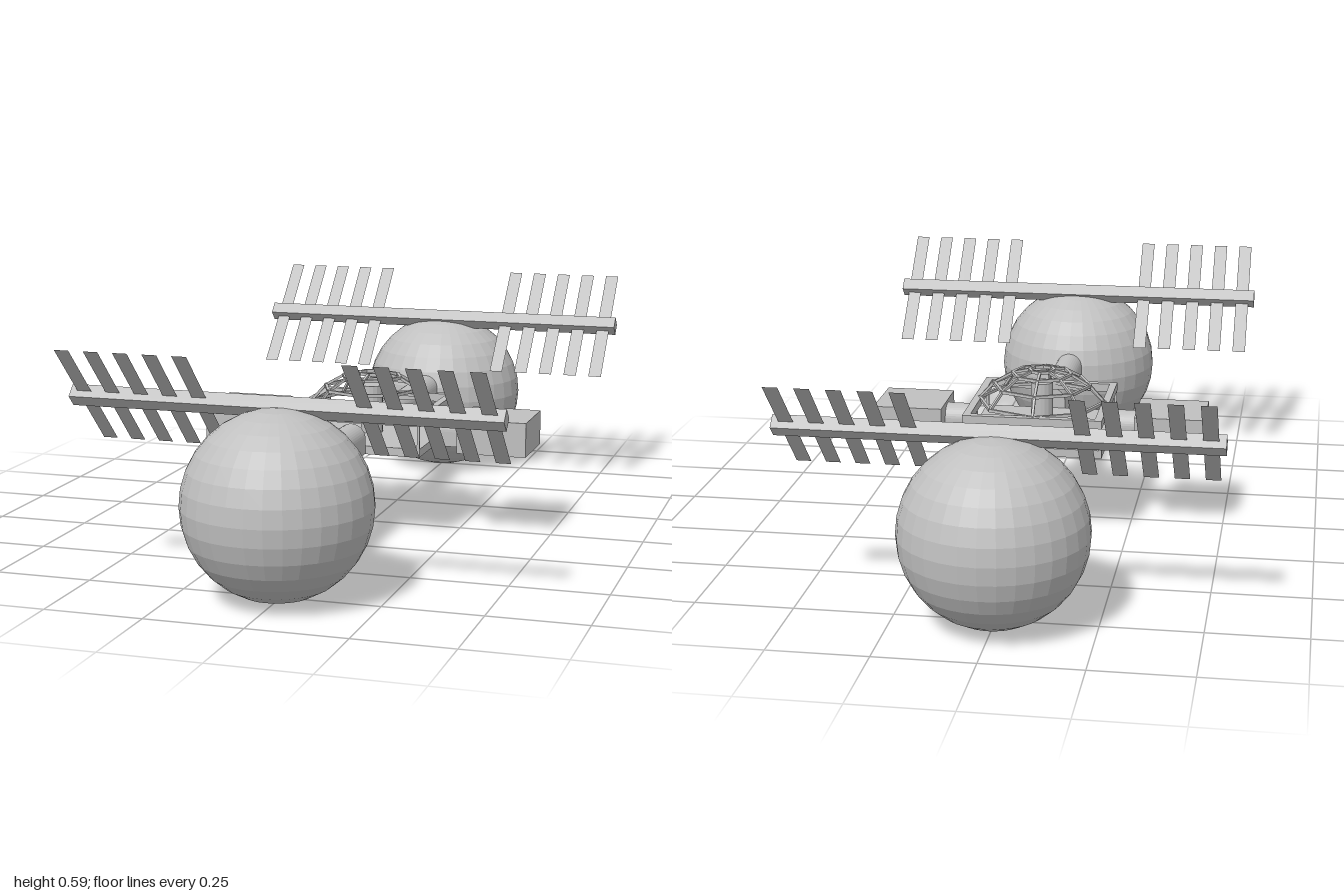
import * as THREE from 'three';

export function createModel() {
  const model = new THREE.Group();
  model.name = 'spaceStation';

  const hull = new THREE.MeshStandardMaterial({ color: 0xc0c0c0, flatShading: true });
  hull.name = 'hullGrey';
  const thin = new THREE.MeshStandardMaterial({ color: 0xc0c0c0, flatShading: true, side: THREE.DoubleSide });
  thin.name = 'panelGrey';

  function add(parent, name, geometry, x, y, z, material = hull) {
    const mesh = new THREE.Mesh(geometry, material);
    mesh.name = name;
    mesh.position.set(x, y, z);
    parent.add(mesh);
    return mesh;
  }

  // Straight square bar between two points
  function strut(parent, name, a, b, t) {
    const mesh = add(parent, name, new THREE.BoxGeometry(t, t, a.distanceTo(b) + t * 0.5), 0, 0, 0);
    mesh.position.copy(a).add(b).multiplyScalar(0.5);
    mesh.lookAt(b);
  }

  // Flat-bottomed tunnel with a rounded roof, running along +z
  function tunnel(length) {
    const r = 0.0385;
    const s = new THREE.Shape();
    s.moveTo(-r, 0);
    s.lineTo(r, 0);
    s.lineTo(r, 0.04);
    s.absarc(0, 0.04, r, 0, Math.PI, false);
    s.lineTo(-r, 0);
    return new THREE.ExtrudeGeometry(s, { depth: length, bevelEnabled: false, curveSegments: 10 });
  }

  // Front and rear globes, tunnels and solar arrays
  for (const side of [1, -1]) {
    add(model, 'globe', new THREE.SphereGeometry(0.232, 32, 16), 0, 0.234, side * 0.768);
    const t = add(model, 'longTunnel', tunnel(0.39), 0, 0.235, side * 0.185);
    if (side < 0) t.rotation.y = Math.PI;

    const array = new THREE.Group();
    array.name = 'solarArray';
    array.position.set(0, 0.4615, side * 0.725);
    array.rotation.x = side * Math.PI / 4;
    add(array, 'beam', new THREE.BoxGeometry(1.08, 0.037, 0.037), 0, 0, 0);
    for (let i = 0; i < 5; i++) {
      for (const sx of [1, -1]) {
        add(array, 'solarSlat', new THREE.PlaneGeometry(0.037, 0.373), sx * (0.206 + i * 0.0745), 0, 0, thin);
      }
    }
    model.add(array);
  }

  // Side pods with short tunnels
  for (const side of [1, -1]) {
    add(model, 'sidePod', new THREE.BoxGeometry(0.187, 0.092, 0.184), side * 0.355, 0.276, 0);
    const t = add(model, 'shortTunnel', tunnel(0.085), side * 0.185, 0.235, 0);
    t.rotation.y = side * Math.PI / 2;
  }

  // Central hub: floor, open square frame above it, corner posts and pedestal
  const hub = new THREE.Group();
  hub.name = 'hub';
  model.add(hub);
  const h = 0.186;
  add(hub, 'floor', new THREE.BoxGeometry(h * 2, 0.022, h * 2), 0, 0.245, 0);
  const w = 0.02;
  for (const s of [1, -1]) {
    add(hub, 'frameRail', new THREE.BoxGeometry(h * 2, 0.022, w), 0, 0.326, s * (h - w / 2));
    add(hub, 'frameRail', new THREE.BoxGeometry(w, 0.022, (h - w) * 2), s * (h - w / 2), 0.326, 0);
    for (const sz of [1, -1]) {
      add(hub, 'cornerPost', new THREE.BoxGeometry(0.007, 0.06, 0.007), s * (h - 0.004), 0.285, sz * (h - 0.004));
    }
  }
  add(hub, 'pedestal', new THREE.CylinderGeometry(0.03, 0.03, 0.13, 16), 0, 0.32, 0);

  // Open lattice dome: octagonal rings joined by ribs
  const dome = new THREE.Group();
  dome.name = 'latticeDome';
  hub.add(dome);
  const rings = [[0.172, 0.334], [0.132, 0.378], [0.08, 0.408], [0.034, 0.418]];
  const point = (ring, i) => {
    const a = i * Math.PI / 4;
    return new THREE.Vector3(Math.cos(a) * ring[0], ring[1], Math.sin(a) * ring[0]);
  };
  rings.forEach((ring, k) => {
    for (let i = 0; i < 8; i++) {
      strut(dome, 'domeRing', point(ring, i), point(ring, i + 1), 0.008);
      if (k > 0) strut(dome, 'domeRib', point(rings[k - 1], i), point(ring, i), 0.007);
    }
  });

  return model;
}
